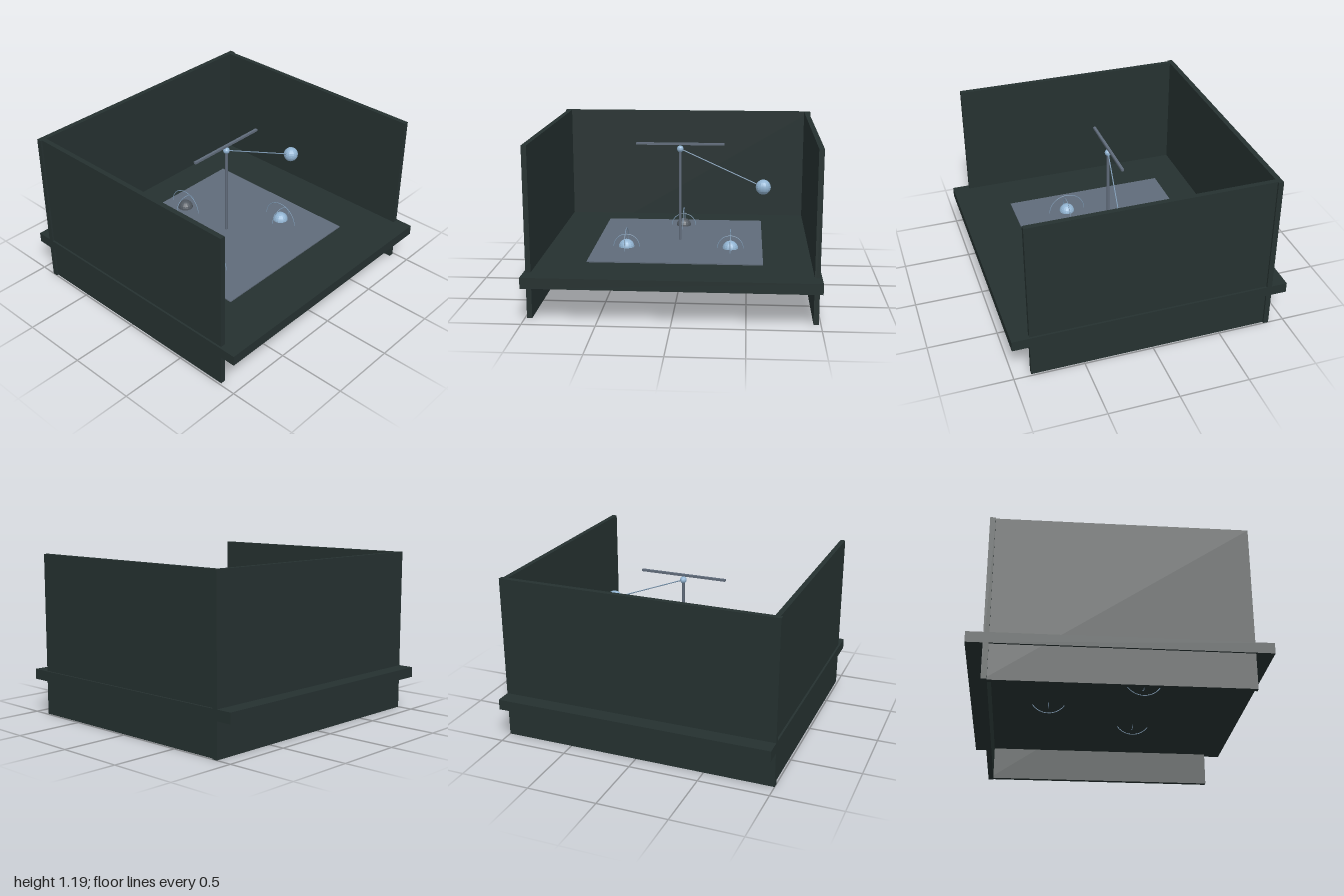
import * as THREE from 'three';

const material = (name, color, flatShading = false) => {
  const m = new THREE.MeshStandardMaterial({ color, flatShading });
  m.name = name;
  return m;
};

export function createModel() {
  const group = new THREE.Group();
  const wallMat = material('dark green grey', 0x253130);
  const slateMat = material('slate', 0x606b7a);
  const blueMat = material('pale blue', 0x92b4d2, true);
  const greyMat = material('dark grey', 0x50575f, true);
  const wireMat = material('wire blue grey', 0x7f9bb5);

  const add = (name, geometry, mat, x, y, z, parent = group) => {
    const mesh = new THREE.Mesh(geometry, mat);
    mesh.name = name;
    mesh.position.set(x, y, z);
    parent.add(mesh);
    return mesh;
  };

  // Round rod between two points
  const rod = (name, a, b, r, mat) => {
    const dir = b.clone().sub(a);
    const mid = a.clone().add(b).multiplyScalar(0.5);
    const mesh = add(name, new THREE.CylinderGeometry(r, r, dir.length(), 10), mat, mid.x, mid.y, mid.z);
    mesh.quaternion.setFromUnitVectors(new THREE.Vector3(0, 1, 0), dir.normalize());
  };

  // Platform and its three walls
  add('platform', new THREE.BoxGeometry(2, 0.075, 2), wallMat, 0, 0.2875, 0);
  add('backWall', new THREE.BoxGeometry(2, 1.19, 0.038), wallMat, 0, 0.595, -0.866);
  for (const [name, s] of [['leftWall', 1], ['rightWall', -1]]) {
    add(name, new THREE.BoxGeometry(0.036, 1.19, 1.75), wallMat, s * 0.968, 0.595, 0);
  }
  add('floorPanel', new THREE.BoxGeometry(1.225, 0.009, 1.225), slateMat, 0, 0.3285, 0);

  // Balls sunk in the floor, each with two upright rings
  const ballGeo = new THREE.SphereGeometry(0.058, 16, 12);
  const smallRing = new THREE.TorusGeometry(0.095, 0.003, 6, 40);
  const largeRing = new THREE.TorusGeometry(0.14, 0.003, 6, 48).rotateY(Math.PI / 2);
  const spots = [
    ['leftFloorBall', 0.38, 0.215, blueMat],
    ['rightFloorBall', -0.38, 0.215, blueMat],
    ['backFloorBall', 0, -0.44, greyMat],
  ];
  for (const [name, x, z, mat] of spots) {
    const unit = new THREE.Group();
    unit.name = name;
    unit.position.set(x, 0.33, z);
    group.add(unit);
    add('ball', ballGeo, mat, 0, 0, 0, unit);
    add('smallRing', smallRing, wireMat, 0, 0, 0, unit);
    add('largeRing', largeRing, wireMat, 0, 0, 0, unit);
  }

  // Central post with crossbar and swinging ball
  const pivot = new THREE.Vector3(0, 1.025, 0);
  const end = new THREE.Vector3(0.613, 0.768, 0.105);
  rod('post', new THREE.Vector3(0, 0.325, 0), pivot, 0.011, slateMat);
  add('crossbar', new THREE.BoxGeometry(0.65, 0.016, 0.019), slateMat, 0, 1.062, 0);
  add('pivotBall', new THREE.SphereGeometry(0.025, 12, 8), blueMat, ...pivot.toArray());
  rod('swingArm', pivot, end, 0.004, wireMat);
  add('swingBall', new THREE.SphereGeometry(0.055, 16, 12), blueMat, ...end.toArray());

  return group;
}
